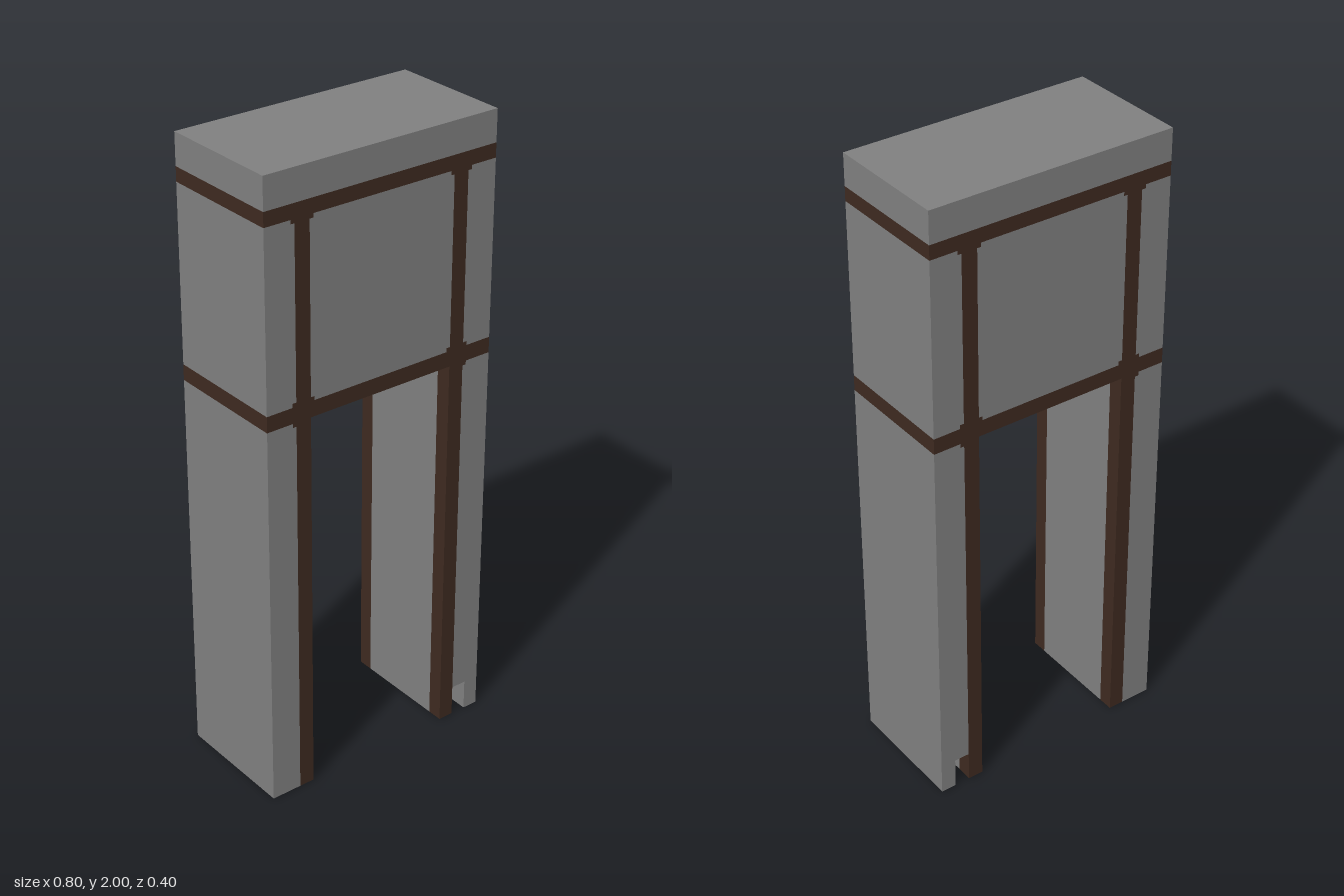
import * as THREE from 'three';

const stone = new THREE.MeshStandardMaterial({ color: 0x808080 });
stone.name = 'greyPlaster';
const wood = new THREE.MeshStandardMaterial({ color: 0x3e2a20 });
wood.name = 'darkTimber';

const DEPTH = 0.4;
const STEP = 0.0125; // size of the little corner brackets

export function createModel() {
  const model = new THREE.Group();
  model.name = 'gateway';

  const add = (name, geometry, material) => {
    const mesh = new THREE.Mesh(geometry, material);
    mesh.name = name;
    model.add(mesh);
    return mesh;
  };

  // Box given by its limits
  const box = (name, material, x0, x1, y0, y1, z0 = -DEPTH / 2, z1 = DEPTH / 2) => {
    const g = new THREE.BoxGeometry(x1 - x0, y1 - y0, z1 - z0);
    g.translate((x0 + x1) / 2, (y0 + y1) / 2, (z0 + z1) / 2);
    return add(name, g, material);
  };

  // Wall panel with rectangular cuts [w, h] in its corners: bottom left, bottom right, top right, top left
  const panel = (name, x0, x1, y0, y1, cuts) => {
    const corners = [[x0, y0, 1, 1], [x1, y0, -1, 1], [x1, y1, -1, -1], [x0, y1, 1, -1]];
    const points = [];
    corners.forEach(([x, y, sx, sy], i) => {
      if (!cuts[i]) return points.push(new THREE.Vector2(x, y));
      const [w, h] = cuts[i];
      const alongY = new THREE.Vector2(x, y + sy * h);
      const inner = new THREE.Vector2(x + sx * w, y + sy * h);
      const alongX = new THREE.Vector2(x + sx * w, y);
      points.push(...(i % 2 === 0 ? [alongY, inner, alongX] : [alongX, inner, alongY]));
      // Small cuts are filled by timber brackets
      if (w === STEP) {
        box('bracket', wood, Math.min(x, x + sx * w), Math.max(x, x + sx * w),
          Math.min(y, y + sy * h), Math.max(y, y + sy * h));
      }
    });
    const g = new THREE.ExtrudeGeometry(new THREE.Shape(points), { depth: DEPTH, bevelEnabled: false });
    g.translate(0, 0, -DEPTH / 2);
    add(name, g, stone);
  };

  const b = [STEP, STEP];

  // Roof block and upper beam
  box('roofBlock', stone, -0.4, 0.4, 1.9, 2);
  box('upperBeam', wood, -0.4, 0.4, 1.855, 1.9);

  // Panels above the opening
  panel('centrePanel', -0.25, 0.25, 1.3, 1.855, [b, b, b, b]);
  panel('rightUpperPanel', -0.4, -0.3, 1.3, 1.855, [null, b, b, null]);
  panel('leftUpperPanel', 0.3, 0.4, 1.3, 1.855, [b, null, null, b]);

  // Lower beam with a groove along its underside
  box('lowerBeamTop', wood, -0.4, 0.4, 1.29, 1.3);
  for (const s of [-1, 1]) {
    box('lowerBeamLip', wood, -0.25, 0.25, 1.25, 1.29, s < 0 ? -0.2 : 0.05, s < 0 ? -0.05 : 0.2);
    box('lowerBeamEnd', wood, s < 0 ? -0.4 : 0.25, s < 0 ? -0.25 : 0.4, 1.25, 1.29);
  }

  // Outer legs, the left one notched at the foot
  panel('rightLeg', -0.4, -0.3, 0, 1.25, [null, null, b, null]);
  panel('leftLeg', 0.3, 0.4, 0, 1.25, [[0.05, 0.1], null, null, b]);

  // Posts and inner walls on both sides
  for (const s of [-1, 1]) {
    const x0 = s < 0 ? -0.3 : 0.25;
    const x1 = x0 + 0.05;
    box('upperPost', wood, x0, x1, 1.3, 1.855);
    box('innerWall', stone, x0, x1, 0, 1.25, -0.15, 0.15);
    box('frontPost', wood, x0, x1, 0, 1.25, 0.15, 0.2);
    box('backPost', wood, x0, x1, 0, 1.25, -0.2, -0.15);
  }

  return model;
}
